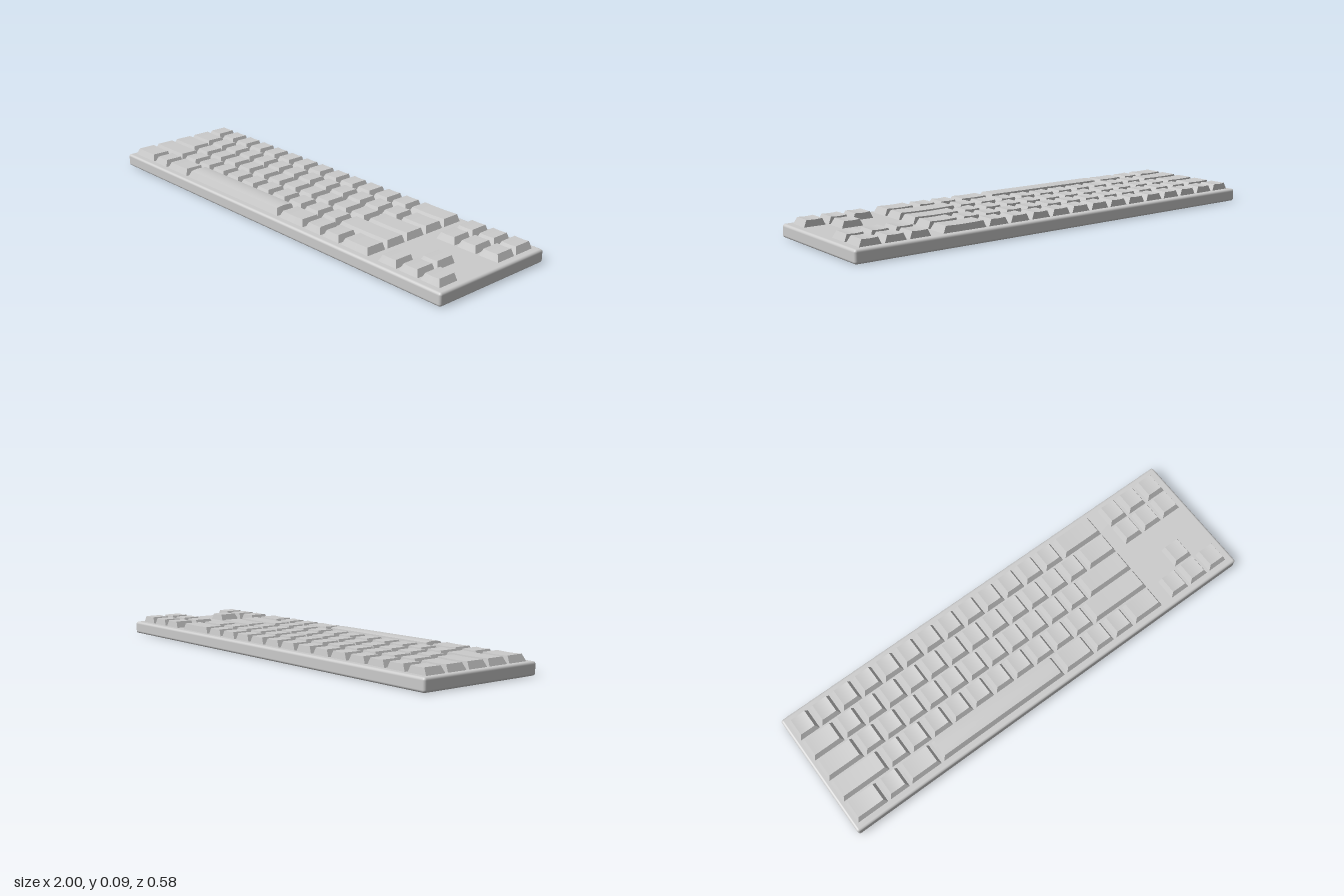
import * as THREE from 'three';
import { RoundedBoxGeometry } from 'three/addons/geometries/RoundedBoxGeometry.js';

const PITCH = 0.1063, GAP = 0.011;
const CASE_TOP = 0.055, KEY_TOP = 0.083;
const material = new THREE.MeshStandardMaterial({ color: 0xcccccc });

// Tapered keycap: sloped front, steep back, top dished across x or (space bar) domed across z
function keycapGeometry(units, domed) {
  const w = units * PITCH - GAP, d = PITCH - GAP;
  const bottom = CASE_TOP - 0.003;
  const geo = new THREE.BoxGeometry(w, 1, d, 10, 1, 10);
  const pos = geo.attributes.position;
  const topW = w - 0.028, front = d / 2 - 0.013, back = -d / 2 + 0.004;
  for (let i = 0; i < pos.count; i++) {
    if (pos.getY(i) < 0) {
      pos.setY(i, bottom);
      continue;
    }
    const u = pos.getX(i) / w, v = pos.getZ(i) / d;
    const curve = domed ? 0.004 * (1 - 4 * v * v) : -0.002 * (1 - 4 * u * u);
    pos.setXYZ(i, u * topW, KEY_TOP + curve, THREE.MathUtils.lerp(back, front, v + 0.5));
  }
  geo.computeVertexNormals();
  return geo;
}

export function createModel() {
  const keyboard = new THREE.Group();
  keyboard.name = 'keyboard';

  // Case with softly rounded edges
  const body = new THREE.Mesh(new RoundedBoxGeometry(2, CASE_TOP, 0.58, 4, 0.011), material);
  body.name = 'case';
  body.position.y = CASE_TOP / 2;
  keyboard.add(body);

  const cache = {};
  function addKey(parent, name, units, x, row) {
    const domed = units === 6;
    cache[units] ??= keycapGeometry(units, domed);
    const key = new THREE.Mesh(cache[units], material);
    key.name = name;
    key.position.set(x, 0, (row - 2) * PITCH);
    parent.add(key);
  }

  // Main block: key widths in units, back row to front row
  const ones = n => Array(n).fill(1);
  const rows = [
    [...ones(13), 2],
    [1.5, ...ones(12), 1.5],
    [1.75, ...ones(11), 2.25],
    [2.25, ...ones(10), 2.75],
    [1.5, 1, 1.5, 6, 1.5, 1, 1, 1.5],
  ];
  const mainKeys = new THREE.Group();
  mainKeys.name = 'mainKeys';
  rows.forEach((widths, row) => {
    let x = -0.983;
    widths.forEach((units, i) => {
      const name = units === 6 ? 'spaceBar' : `keyRow${row + 1}Number${i + 1}`;
      addKey(mainKeys, name, units, x + units * PITCH / 2, row);
      x += units * PITCH;
    });
  });
  keyboard.add(mainKeys);

  // Navigation cluster and arrow keys on the side
  const columns = [0, 1, 2].map(i => 0.707 + i * PITCH);
  const navigationKeys = new THREE.Group();
  navigationKeys.name = 'navigationKeys';
  for (const row of [0, 1]) {
    columns.forEach((x, i) => addKey(navigationKeys, `navigationKey${row * 3 + i + 1}`, 1, x, row));
  }
  const arrowKeys = new THREE.Group();
  arrowKeys.name = 'arrowKeys';
  addKey(arrowKeys, 'upArrowKey', 1, columns[1], 3);
  ['leftArrowKey', 'downArrowKey', 'rightArrowKey'].forEach((name, i) => addKey(arrowKeys, name, 1, columns[i], 4));
  keyboard.add(navigationKeys, arrowKeys);

  return keyboard;
}
